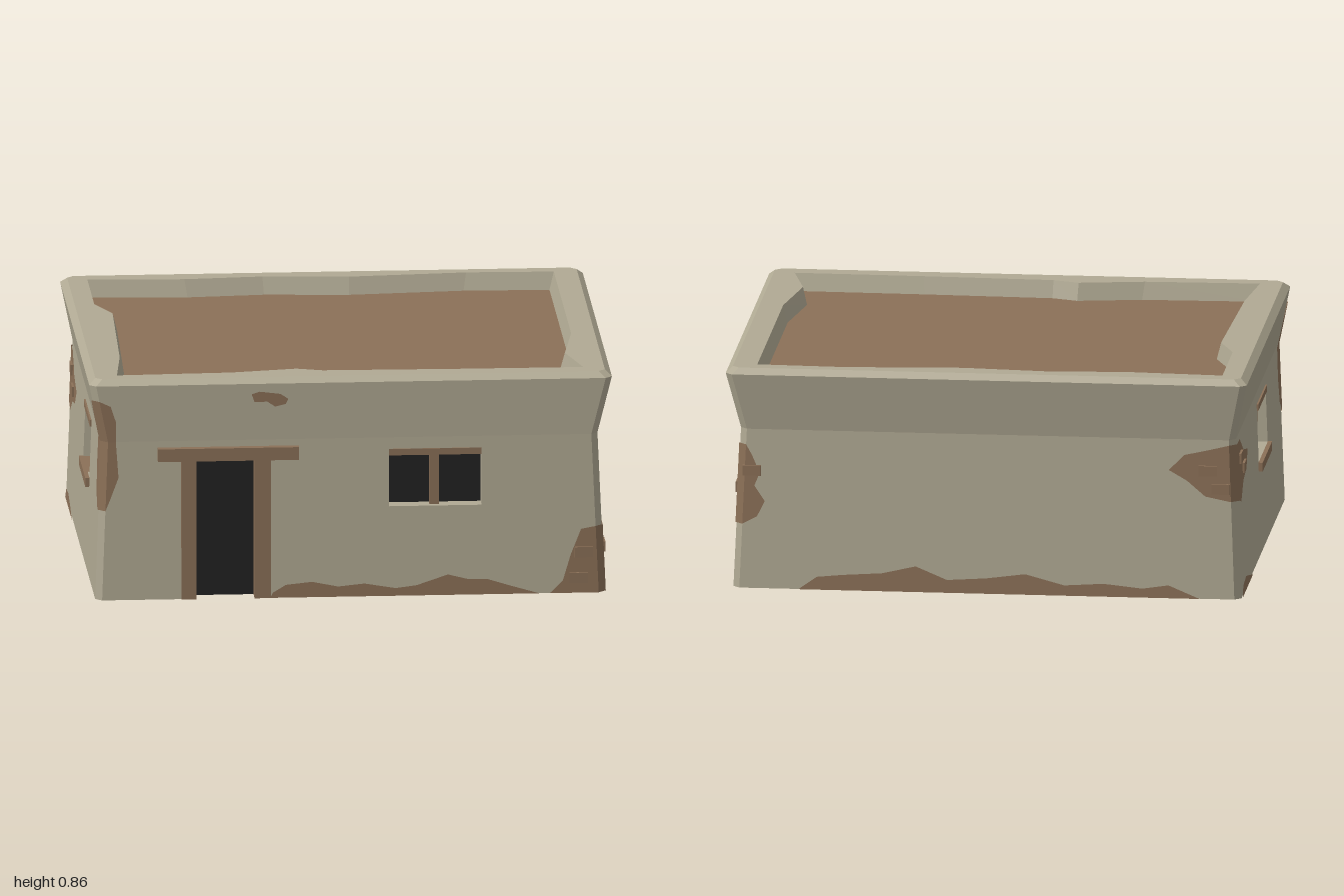
import * as THREE from 'three';

const mat = (name, color) => {
  const m = new THREE.MeshStandardMaterial({ color, side: THREE.DoubleSide });
  m.name = name;
  return m;
};

// Heights of the wall bands and, for each side, its distance from the centre
const Y = [0, 0.62, 0.84, 0.862];
const DIST = [
  [0.825, 0.812, 0.815, 0.79],  // front
  [0.972, 0.945, 1.0, 0.975],   // +x side
  [0.83, 0.81, 0.845, 0.82],    // back
  [0.978, 0.955, 1.0, 0.975],   // -x side
];
const CH = 0.025; // corner chamfer
const dist = (s, y) => {
  const d = DIST[(s + 4) % 4];
  const k = y < Y[1] ? 0 : y < Y[2] ? 1 : 2;
  return d[k] + (d[k + 1] - d[k]) * (y - Y[k]) / (Y[k + 1] - Y[k]);
};
const rightEnd = (s, y) => dist(s + 1, y) - CH;
const leftEnd = (s, y) => CH - dist(s - 1, y);

export function createModel() {
  const plaster = mat('plaster', 0xb0a993);
  const brick = mat('mudBrick', 0x8b7057);
  const dark = mat('darkOpening', 0x222222);

  const model = new THREE.Group();
  model.name = 'adobeHouse';

  // Each side is built facing +z, then turned into place
  const sides = ['front', 'right', 'back', 'left'].map((name, i) => {
    const g = new THREE.Group();
    g.name = name + 'Side';
    g.rotation.y = i * Math.PI / 2;
    model.add(g);
    return g;
  });

  const add = (parent, name, geo, material) => {
    const m = new THREE.Mesh(geo, material);
    m.name = name;
    parent.add(m);
    return m;
  };
  const box = (parent, name, x0, x1, y0, y1, z0, z1, material) => {
    const m = add(parent, name, new THREE.BoxGeometry(x1 - x0, y1 - y0, z1 - z0), material);
    m.position.set((x0 + x1) / 2, (y0 + y1) / 2, (z0 + z1) / 2);
  };
  const shapeOf = (pts) => new THREE.Shape(pts.map(([x, y]) => new THREE.Vector2(x, y)));
  const quad = (a, b, c, d) => {
    const g = new THREE.BufferGeometry();
    g.setAttribute('position', new THREE.Float32BufferAttribute([a, b, c, a, c, d].flat(), 3));
    g.computeVertexNormals();
    return g;
  };

  // Flat outline laid on the leaning wall of one side, clamped to its corners
  const sheet = (s, name, pts, material, off = 0, holes = []) => {
    const fit = pts.map(([u, y]) => [Math.min(Math.max(u, leftEnd(s, y)), rightEnd(s, y)), y]);
    const shape = shapeOf(fit);
    holes.forEach(([a, b, c, d]) => shape.holes.push(shapeOf([[a, c], [a, d], [b, d], [b, c]])));
    const geo = new THREE.ShapeGeometry(shape);
    const p = geo.attributes.position;
    for (let i = 0; i < p.count; i++) p.setZ(i, dist(s, p.getY(i)) + off);
    geo.computeVertexNormals();
    add(sides[s], name, geo, material);
  };
  // Chamfer strip between side s and the next one
  const corner = (s, name, y0, y1, material, off = 0) => {
    const A = (y) => [rightEnd(s, y), y, dist(s, y) + off];
    const B = (y) => [dist(s + 1, y) + off, y, dist(s, y) - CH];
    add(sides[s], name, quad(A(y0), B(y0), B(y1), A(y1)), material);
  };

  // Window and door openings: u0, u1, y0, y1
  const windows = [[0.145, 0.5, 0.35, 0.575], [-0.49, -0.17, 0.35, 0.575], null, [-0.04, 0.29, 0.35, 0.575]];
  const door = [-0.6, -0.36, 0, 0.55];

  // Walls, flared tops, bevels and corners
  for (let s = 0; s < 4; s++) {
    for (let k = 0; k < 3; k++) {
      const y0 = Y[k], y1 = Y[k + 1] - 1e-6;
      const notch = s === 0 && k === 0
        ? [[door[0], 0], [door[0], door[3]], [door[1], door[3]], [door[1], 0]] : [];
      sheet(s, ['wall', 'flaredWall', 'rimBevel'][k], [[-9, y0], ...notch, [9, y0], [9, y1], [-9, y1]],
        plaster, 0, k === 0 && windows[s] ? [windows[s]] : []);
      corner(s, 'wallCorner', y0, y1, plaster);
    }
  }

  // Recess: reveal faces and a dark back panel
  const recess = (s, name, [a, b, c, d], depth, revealMat) => {
    const zo = (y) => dist(s, y), zi = dist(s, 0.45) - depth;
    const loop = [[a, c], [b, c], [b, d], [a, d]];
    loop.forEach(([u, y], i) => {
      if (c === 0 && i === 0) return;
      const [v, w] = loop[(i + 1) % 4];
      add(sides[s], name + 'Reveal', quad([u, y, zo(y)], [v, w, zo(w)], [v, w, zi], [u, y, zi]), revealMat);
    });
    add(sides[s], name + 'Panel', quad([a, c, zi], [b, c, zi], [b, d, zi], [a, d, zi]), dark);
  };
  windows.forEach((w, s) => {
    if (!w) return;
    recess(s, 'window', w, 0.06, plaster);
    const [a, b, c, d] = w, m = (a + b) / 2 - 0.003, z = dist(s, 0.45);
    box(sides[s], 'windowHeader', a, b, d - 0.025, d, z - 0.06, z + 0.002, brick);
    box(sides[s], 'windowPost', m - 0.018, m + 0.018, c, d - 0.025, z - 0.058, z - 0.02, brick);
    if (s) box(sides[s], 'windowSill', a - 0.012, b + 0.012, c - 0.035, c, z - 0.06, z + 0.02, brick);
  });

  // Door with jambs and lintel
  recess(0, 'door', door, 0.05, brick);
  box(sides[0], 'leftJamb', -0.65, -0.592, 0, 0.545, 0.765, 0.832, brick);
  box(sides[0], 'rightJamb', -0.37, -0.308, 0, 0.545, 0.765, 0.832, brick);
  box(sides[0], 'doorLintel', -0.74, -0.2, 0.545, 0.595, 0.77, 0.842, brick);

  // Worn plaster along the ground and on the parapet
  const T = 0.004;
  const worn = (s, pts) => sheet(s, 'exposedBrick', pts, brick, T);
  worn(0, [[-0.31, 0], [-0.3, 0.02], [-0.25, 0.05], [-0.15, 0.06], [-0.05, 0.04], [0.05, 0.05], [0.17, 0.03],
    [0.25, 0.04], [0.37, 0.08], [0.45, 0.06], [0.52, 0.06], [0.6, 0.035], [0.72, 0]]);
  worn(0, [[-0.38, 0.8], [-0.35, 0.81], [-0.27, 0.8], [-0.24, 0.78], [-0.25, 0.76], [-0.29, 0.75], [-0.32, 0.77], [-0.37, 0.77]]);
  worn(1, [[-0.22, 0], [-0.2, 0.03], [-0.1, 0.035], [-0.05, 0.06], [0.05, 0.04], [0.15, 0.05], [0.27, 0.06],
    [0.35, 0.04], [0.43, 0.06], [0.52, 0.04], [0.6, 0]]);
  worn(2, [[-0.72, 0], [-0.65, 0.05], [-0.55, 0.06], [-0.4, 0.07], [-0.27, 0.1], [-0.15, 0.05], [0, 0.06],
    [0.15, 0.08], [0.3, 0.04], [0.45, 0.05], [0.6, 0.035], [0.7, 0.05], [0.82, 0]]);
  worn(3, [[-0.8, 0], [-0.76, 0.04], [-0.65, 0.05], [-0.55, 0.03], [-0.42, 0]]);

  // Broken corner: front and +x side
  worn(0, [[0.76, 0], [0.81, 0.05], [0.84, 0.15], [0.88, 0.25], [9, 0.26], [9, 0]]);
  corner(0, 'exposedCorner', 0, 0.26, brick, T);
  worn(1, [[-9, 0], [-9, 0.26], [-0.73, 0.26], [-0.67, 0.17], [-0.5, 0.11], [-0.48, 0.05], [-0.38, 0.03], [-0.36, 0]]);
  // Broken corner: +x side and back
  worn(1, [[9, 0.56], [0.78, 0.55], [0.72, 0.48], [0.74, 0.43], [0.7, 0.38], [0.72, 0.28], [0.77, 0.25], [9, 0.25]]);
  corner(1, 'exposedCorner', 0.25, 0.56, brick, T);
  worn(2, [[-9, 0.56], [-0.9, 0.52], [-0.87, 0.45], [-0.89, 0.4], [-0.85, 0.34], [-0.88, 0.28], [-9, 0.25]]);
  // Broken corner: back and -x side
  worn(2, [[9, 0.6], [0.85, 0.58], [0.76, 0.56], [0.7, 0.5], [0.77, 0.46], [0.84, 0.4], [9, 0.38]]);
  corner(2, 'exposedCorner', 0.38, 0.6, brick, T);
  worn(3, [[-9, 0.6], [-0.7, 0.6], [-0.58, 0.53], [-0.44, 0.5], [-0.5, 0.44], [-0.62, 0.42], [-0.72, 0.36], [-9, 0.38]]);
  // Broken corner: -x side and front, in two bands where the wall bends
  worn(0, [[-9, 0.35], [-0.92, 0.4], [-0.89, 0.48], [-0.9, 0.62], [-9, 0.62]]);
  worn(0, [[-9, 0.62], [-0.9, 0.62], [-0.9, 0.7], [-0.92, 0.76], [-9, 0.78]]);
  worn(3, [[9, 0.35], [0.72, 0.4], [0.69, 0.5], [0.7, 0.62], [9, 0.62]]);
  worn(3, [[9, 0.62], [0.7, 0.62], [0.72, 0.72], [9, 0.78]]);
  corner(3, 'exposedCorner', 0.35, 0.62, brick, T);
  corner(3, 'exposedCorner', 0.62, 0.78, brick, T);

  // Single bricks standing out of the broken corners: side, u, y
  [[0, 0.89, 0.16], [0, 0.87, 0.06], [1, -0.735, 0.165], [1, -0.625, 0.06], [1, 0.73, 0.38], [2, -0.9, 0.46],
    [2, 0.85, 0.5], [2, 0.9, 0.43], [3, -0.7, 0.53], [3, -0.6, 0.47]].forEach(([s, u, y]) => {
    const z = dist(s, y);
    box(sides[s], 'looseBrick', u - 0.035, u + 0.035, y - 0.02, y + 0.02, z - 0.01, z + 0.012, brick);
  });

  // Parapet rim with an uneven inner edge (x, z), and the sunken roof
  const inner = [[-0.9, -0.76], [-0.53, -0.74], [-0.23, -0.762], [0.1, -0.737], [0.55, -0.772], [0.885, -0.762],
    [0.885, 0.2], [0.84, 0.5], [0.895, 0.725], [0.4, 0.72], [-0.1, 0.708], [-0.2, 0.675], [-0.45, 0.718], [-0.89, 0.733],
    [-0.86, 0.45], [-0.84, -0.23], [-0.9, -0.38]];
  const low = inner.map(([x, z]) => [x * 0.98, z * 0.975]);
  const top = Y[3], roofY = 0.795;
  const flat = (pts, y, hole) => {
    const shape = shapeOf(pts.map(([x, z]) => [x, -z]));
    if (hole) shape.holes.push(shapeOf(hole.map(([x, z]) => [x, -z])));
    return new THREE.ShapeGeometry(shape).rotateX(-Math.PI / 2).translate(0, y, 0);
  };
  const [f, r, b, l] = DIST.map((d) => d[3]);
  const outer = [[-l, f - CH], [-l + CH, f], [r - CH, f], [r, f - CH], [r, CH - b], [r - CH, -b], [CH - l, -b], [-l, CH - b]];
  add(model, 'parapetRim', flat(outer, top, inner), plaster);
  inner.forEach(([x, z], i) => {
    const j = (i + 1) % inner.length;
    add(model, 'parapetInside', quad([x, top, z], [low[i][0], roofY, low[i][1]],
      [low[j][0], roofY, low[j][1]], [inner[j][0], top, inner[j][1]]), plaster);
  });
  add(model, 'roof', flat(low, roofY), brick);

  return model;
}
